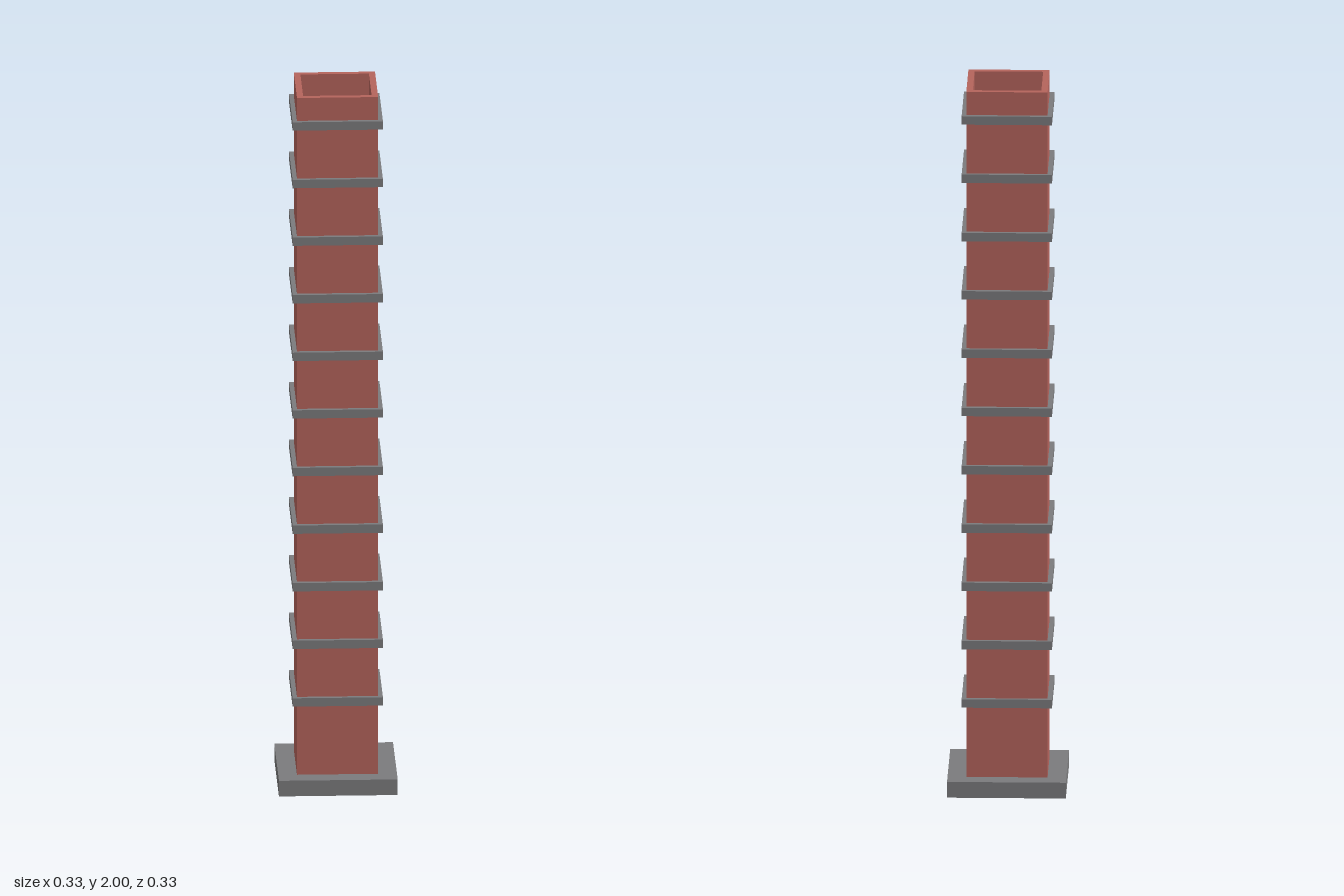
import * as THREE from 'three';

const brick = new THREE.MeshStandardMaterial({ color: 0xb5645c, flatShading: true, side: THREE.DoubleSide });
const stone = new THREE.MeshStandardMaterial({ color: 0x7b7b7d, flatShading: true, side: THREE.DoubleSide });

// Sweep a [half width, height] profile around a square plan
function squareSweep(name, profile, material) {
  const points = profile.map(([half, y]) => new THREE.Vector2(half * Math.SQRT2, y));
  const mesh = new THREE.Mesh(new THREE.LatheGeometry(points, 4, Math.PI / 4), material);
  mesh.name = name;
  return mesh;
}

export function createModel() {
  const model = new THREE.Group();
  model.name = 'chimney';

  const baseTop = 0.045, baseHalf = 0.163;
  const shaftHalf = 0.1115, flueHalf = 0.094, flueFloor = 1.93;

  // Base plinth, open underneath
  model.add(squareSweep('basePlinth', [[baseHalf, 0], [baseHalf, baseTop], [shaftHalf, baseTop]], stone));

  // Hollow shaft with a rim and a shallow recess at the top
  model.add(squareSweep('shaft', [
    [shaftHalf, baseTop], [shaftHalf, 2], [flueHalf, 2], [flueHalf, flueFloor], [0, flueFloor],
  ], brick));

  // Evenly spaced bands around the shaft
  const bandHalf = 0.124, bandHeight = 0.024;
  for (let i = 0; i < 11; i++) {
    const y = 0.258 + i * 0.1664;
    const low = y - bandHeight / 2, high = y + bandHeight / 2;
    model.add(squareSweep(`band${i + 1}`, [
      [shaftHalf, low], [bandHalf, low], [bandHalf, high], [shaftHalf, high],
    ], stone));
  }
  return model;
}
